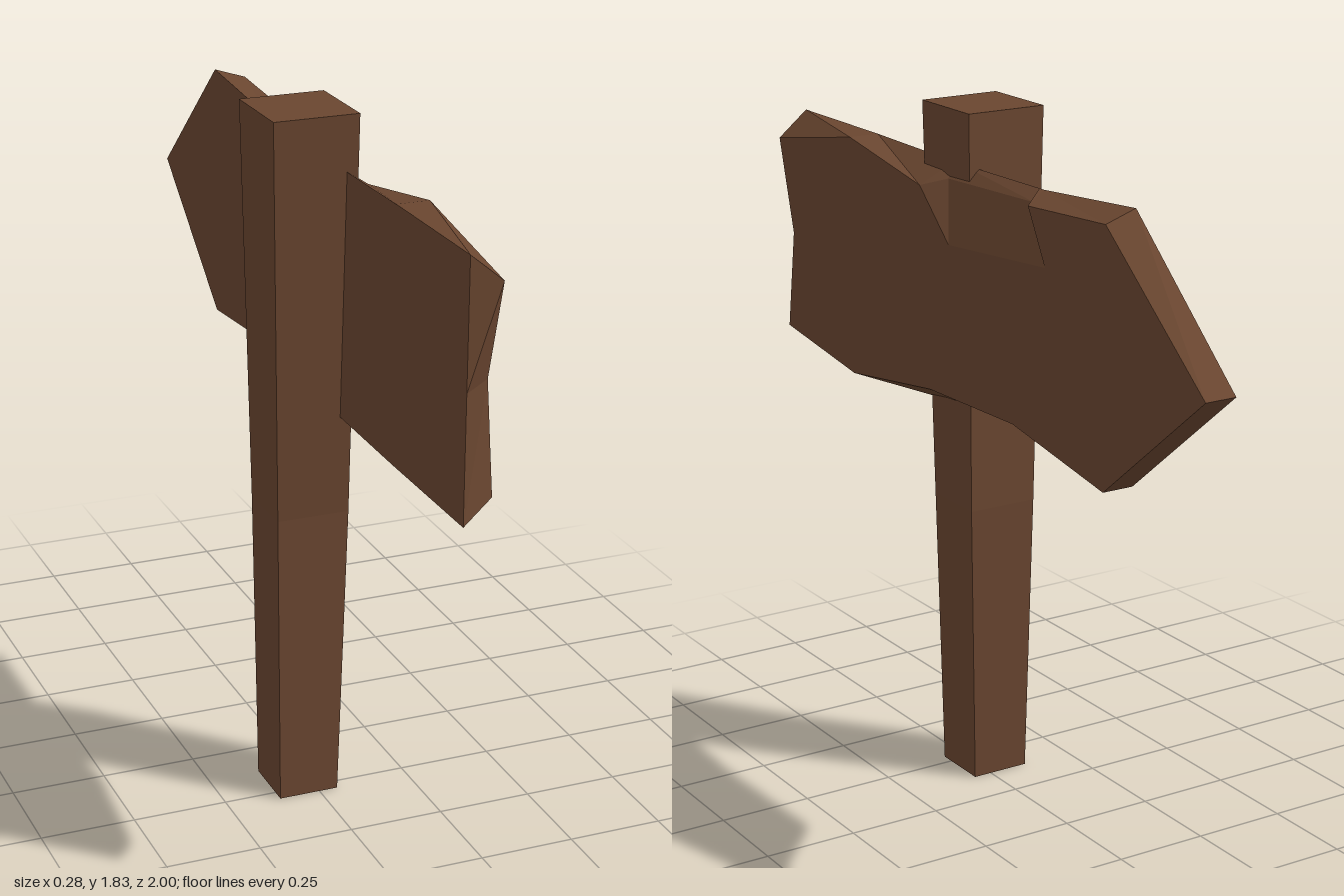
import * as THREE from 'three';

const wood = new THREE.MeshStandardMaterial({ color: 0x6a4630 });
wood.name = 'brown wood';

// Faceted mesh from polygons (corner lists, counterclockwise from outside)
function facetMesh(name, polygons) {
  const pos = [];
  for (const p of polygons) {
    for (let i = 1; i < p.length - 1; i++) pos.push(...p[0], ...p[i], ...p[i + 1]);
  }
  const g = new THREE.BufferGeometry();
  g.setAttribute('position', new THREE.Float32BufferAttribute(pos, 3));
  g.computeVertexNormals();
  const mesh = new THREE.Mesh(g, wood);
  mesh.name = name;
  return mesh;
}

// Quads joining two loops of equal length
const bridge = (a, b) => a.map((p, i) => {
  const j = (i + 1) % a.length;
  return [p, b[i], b[j], a[j]];
});

// Flat cap facing +x over an outline that may be concave
function capX(points) {
  const flat = points.map(([, y, z]) => new THREE.Vector2(-z, y));
  return THREE.ShapeUtils.triangulateShape(flat, []).map(t => t.map(i => points[i]));
}

// Crooked square post, from sections [y, xMin, xMax, zMin, zMax]
function makePost() {
  const rings = [
    [0, -0.11, 0.05, 0.125, 0.285],
    [0.78, -0.11, 0.082, 0.085, 0.267],
    [1.83, -0.14, 0.082, 0.087, 0.315],
  ].map(([y, x0, x1, z0, z1]) => [[x0, y, z1], [x1, y, z1], [x1, y, z0], [x0, y, z0]]);
  return facetMesh('post', [
    ...bridge(rings[1], rings[0]),
    ...bridge(rings[2], rings[1]),
    rings[2],
    [...rings[0]].reverse(),
  ]);
}

// Arrow board with uneven bevels and a chip cut out of its top edge
function makeBoard() {
  const xBack = 0.052, xFace = 0.137, xChip = 0.087;
  // Rows: face z, y, then back z, y, then depth of the face corner
  const rim = [
    [1, 1.62, 1, 1.69],
    [0.93, 1.365, 1, 1.365],
    [0.97, 1.09, 1, 1.04],
    [0.6, 1.04, 0.6, 1.04],
    [0.2, 1.095, 0.2, 1.045],
    [-0.2, 1.105, -0.2, 1.073],
    [-0.6, 1.04, -0.6, 1.04],
    [-1, 1.365, -1, 1.365],
    [-0.6, 1.692, -0.6, 1.72],
    [-0.27, 1.672, -0.21, 1.69],
    [-0.22, 1.665, -0.19, 1.69, xChip],
    [0.18, 1.65, 0.19, 1.685, xChip],
    [0.24, 1.628, 0.21, 1.685],
    [0.6, 1.69, 0.6, 1.69],
  ];
  const face = rim.map(([z, y, , , x = xFace]) => [x, y, z]);
  const back = rim.map(([, , z, y]) => [xBack, y, z]);
  const chipRight = [xFace, 1.535, -0.345], chipLeft = [xFace, 1.5, 0.1];
  return facetMesh('arrowBoard', [
    ...capX([...face.slice(0, 10), chipRight, chipLeft, ...face.slice(12)]),
    ...capX(back).map(t => t.reverse()),
    ...bridge(face, back),
    // Chip floor and its two ends
    [chipLeft, chipRight, face[10], face[11]],
    [chipRight, face[9], face[10]],
    [face[12], chipLeft, face[11]],
  ]);
}

export function createModel() {
  const model = new THREE.Group();
  model.name = 'signpost';
  model.add(makePost(), makeBoard());
  return model;
}
